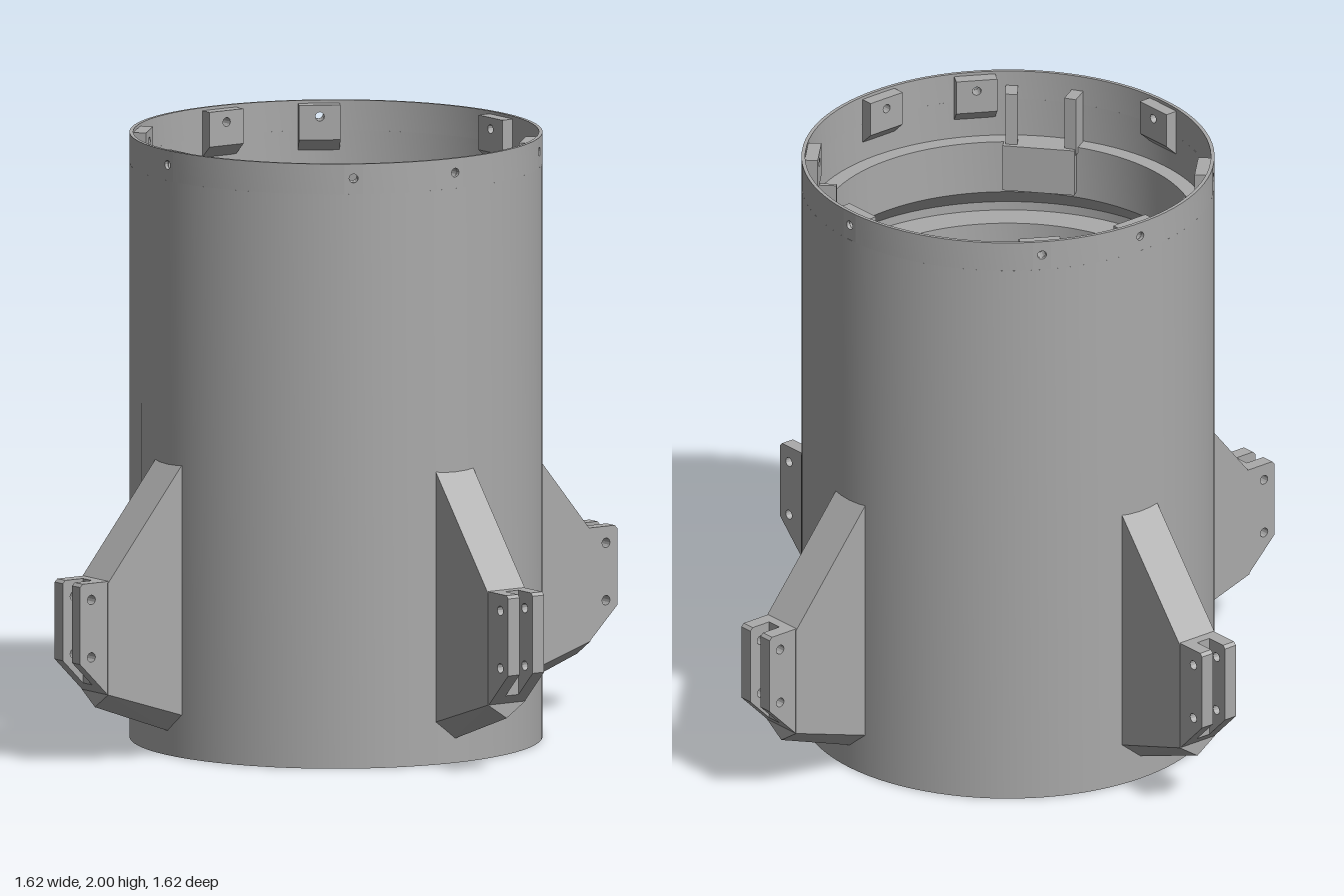
import * as THREE from 'three';
import { toCreasedNormals } from 'three/addons/utils/BufferGeometryUtils.js';
import { ConvexGeometry } from 'three/addons/geometries/ConvexGeometry.js';

const grey = new THREE.MeshStandardMaterial({ color: 0xaaaaaa });
grey.name = 'plain grey';
const dark = new THREE.MeshStandardMaterial({ color: 0x444444 });
dark.name = 'dark hole';

const R = 0.675, WALL = 0.663, BAND = 1.9, HOLE_Y = 1.952;
const rad = THREE.MathUtils.degToRad;

function add(parent, name, geometry, material = grey) {
  const mesh = new THREE.Mesh(geometry, material);
  mesh.name = name;
  parent.add(mesh);
  return mesh;
}

// Group turned about y so that its +z axis points outwards at the given angle
function spoke(parent, name, degrees) {
  const group = new THREE.Group();
  group.name = name;
  group.rotation.y = rad(degrees);
  parent.add(group);
  return group;
}

function lathe(points, segments, start = 0, length = Math.PI * 2) {
  const profile = points.map(([r, y]) => new THREE.Vector2(r, y));
  return toCreasedNormals(new THREE.LatheGeometry(profile, segments, start, length), 0.5);
}

// Upright plate with round holes, extruded along z
function plate(outline, holes, radius, depth) {
  const shape = new THREE.Shape(outline.map(([x, y]) => new THREE.Vector2(x, y)));
  for (const [x, y] of holes) {
    shape.holes.push(new THREE.Path().absarc(x, y, radius, 0, Math.PI * 2, true));
  }
  return new THREE.ExtrudeGeometry(shape, { depth, bevelEnabled: false, curveSegments: 6 });
}

const rect = (w, y0, y1) => [[-w, y0], [w, y0], [w, y1], [-w, y1]];

function addBody(model) {
  // Outer wall, stepped inner rings, floor and bore
  add(model, 'body', lathe([
    [0.44, 0], [R, 0], [R, BAND], [WALL, BAND], [WALL, 1.77], [0.61, 1.77],
    [0.61, 1.59], [WALL, 1.53], [WALL, 1.5], [0.56, 1.5], [0.56, 1.4],
    [WALL, 1.3], [WALL, 1.0], [0.44, 1.0], [0.44, 0],
  ], 96));

  // Top band: curved arcs between small drilled panels, with a pad behind each hole
  const angles = [14.6, 45, 90, 135, 194.6, 225, 270, 315];
  const half = 0.03, halfAngle = Math.asin(half / R);
  angles.forEach((angle, i) => {
    const next = i + 1 < angles.length ? angles[i + 1] : angles[0] + 360;
    const span = rad(next - angle) - 2 * halfAngle;
    add(model, 'rimArc', lathe(
      [[R, BAND], [R, 2], [WALL, 2], [WALL, BAND]],
      Math.round(span / 0.065), rad(angle) + halfAngle, span));

    const mount = spoke(model, 'screwMount', angle);
    const panel = add(mount, 'rimPanel', plate(rect(half, BAND, 2), [[0, HOLE_Y]], 0.015, R - WALL));
    panel.position.z = R * Math.cos(halfAngle) - (R - WALL);
    const pad = add(mount, 'screwPad', plate(rect(0.068, 1.875, 1.99), [[0, HOLE_Y]], 0.015, 0.043));
    pad.position.z = 0.618;
    // Sloped underside of the pad
    add(mount, 'padChamfer', new ConvexGeometry([-0.068, 0.068].flatMap((x) => [
      new THREE.Vector3(x, 1.875, 0.618),
      new THREE.Vector3(x, 1.875, 0.661),
      new THREE.Vector3(x, 1.835, 0.661),
    ])));
  });
}

function addFin(model, degrees) {
  const fin = spoke(model, 'fin', degrees);
  const w = 0.075;
  // Web with sloped top and V-shaped lower edge
  const sections = [
    { r: 0.667, top: 0.972, side: 0.14, ridge: 0.078 },
    { r: 0.965, top: 0.605, side: 0.235, ridge: 0.185 },
  ];
  add(fin, 'finWeb', new ConvexGeometry(sections.flatMap(({ r, top, side, ridge }) => [
    new THREE.Vector3(-w, top, r), new THREE.Vector3(w, top, r),
    new THREE.Vector3(-w, side, r), new THREE.Vector3(w, side, r),
    new THREE.Vector3(0, ridge, r),
  ])));

  // Forked bracket at the tip: two drilled cheeks joined by a core
  const cheek = [[0.95, 0.24], [0.965, 0.235], [1.075, 0.345], [1.075, 0.6], [1.065, 0.61], [0.95, 0.61]];
  const core = [[0.95, 0.24], [0.965, 0.235], [0.995, 0.265], [0.995, 0.61], [0.95, 0.61]];
  const layers = [
    ['bracketCheek', cheek, [[1.03, 0.555], [1.03, 0.365]], -0.072, 0.046],
    ['bracketCore', core, [], -0.026, 0.052],
    ['bracketCheek', cheek, [[1.03, 0.555], [1.03, 0.365]], 0.026, 0.046],
  ];
  for (const [name, outline, holes, x, thick] of layers) {
    const mesh = add(fin, name, plate(outline, holes, 0.016, thick).rotateY(-Math.PI / 2));
    mesh.position.x = x + thick;
  }

  // Screw recess on the bore and nut block on the floor
  const recess = add(fin, 'boreHole', new THREE.CircleGeometry(0.02, 12).rotateY(Math.PI), dark);
  recess.position.set(0, 0.355, 0.436);
  const block = add(fin, 'nutBlock', new THREE.BoxGeometry(0.12, 0.03, 0.05));
  block.position.set(0, 1.01, 0.467);
}

function addInnerFittings(model) {
  // Paired guide rails with cross bars on the left and right
  for (const angle of [90, 270]) {
    const guide = spoke(model, 'guide', angle);
    for (const x of [-0.072, 0.072]) {
      add(guide, 'guideRail', new THREE.BoxGeometry(0.014, 0.34, 0.09)).position.set(x, 1.67, 0.613);
    }
    add(guide, 'guideBack', new THREE.BoxGeometry(0.13, 0.24, 0.06)).position.set(0, 1.66, 0.6);
    add(guide, 'guideFoot', new THREE.BoxGeometry(0.15, 0.04, 0.12)).position.set(0, 1.48, 0.535);
  }
  // Upright ribs and flat shelf inside the front wall
  for (const angle of [4, -15]) {
    const rib = spoke(model, 'frontRib', angle);
    add(rib, 'rib', new THREE.BoxGeometry(0.04, 0.2, 0.07)).position.set(0, 1.85, 0.625);
  }
  const shelf = spoke(model, 'frontShelf', -5);
  add(shelf, 'shelf', new THREE.BoxGeometry(0.24, 0.16, 0.08)).position.set(0, 1.69, 0.607);
}

function addSmallMarks(model) {
  // Screw holes in the base
  for (const angle of [0, 90, 180, 270]) {
    const base = spoke(model, 'baseScrew', angle);
    add(base, 'baseHole', new THREE.CircleGeometry(0.014, 12).rotateX(Math.PI / 2), dark)
      .position.set(0, -0.001, 0.6);
  }
  // Fine vertical slits in the outer wall
  for (const angle of [-60, -81]) {
    const slit = spoke(model, 'wallSlit', angle);
    add(slit, 'slit', new THREE.PlaneGeometry(0.005, 0.26), dark).position.set(0, 1.01, R + 0.001);
  }
}

export function createModel() {
  const model = new THREE.Group();
  model.name = 'finnedTube';
  addBody(model);
  for (const angle of [45, 135, 225, 315]) addFin(model, angle);
  addInnerFittings(model);
  addSmallMarks(model);
  return model;
}
